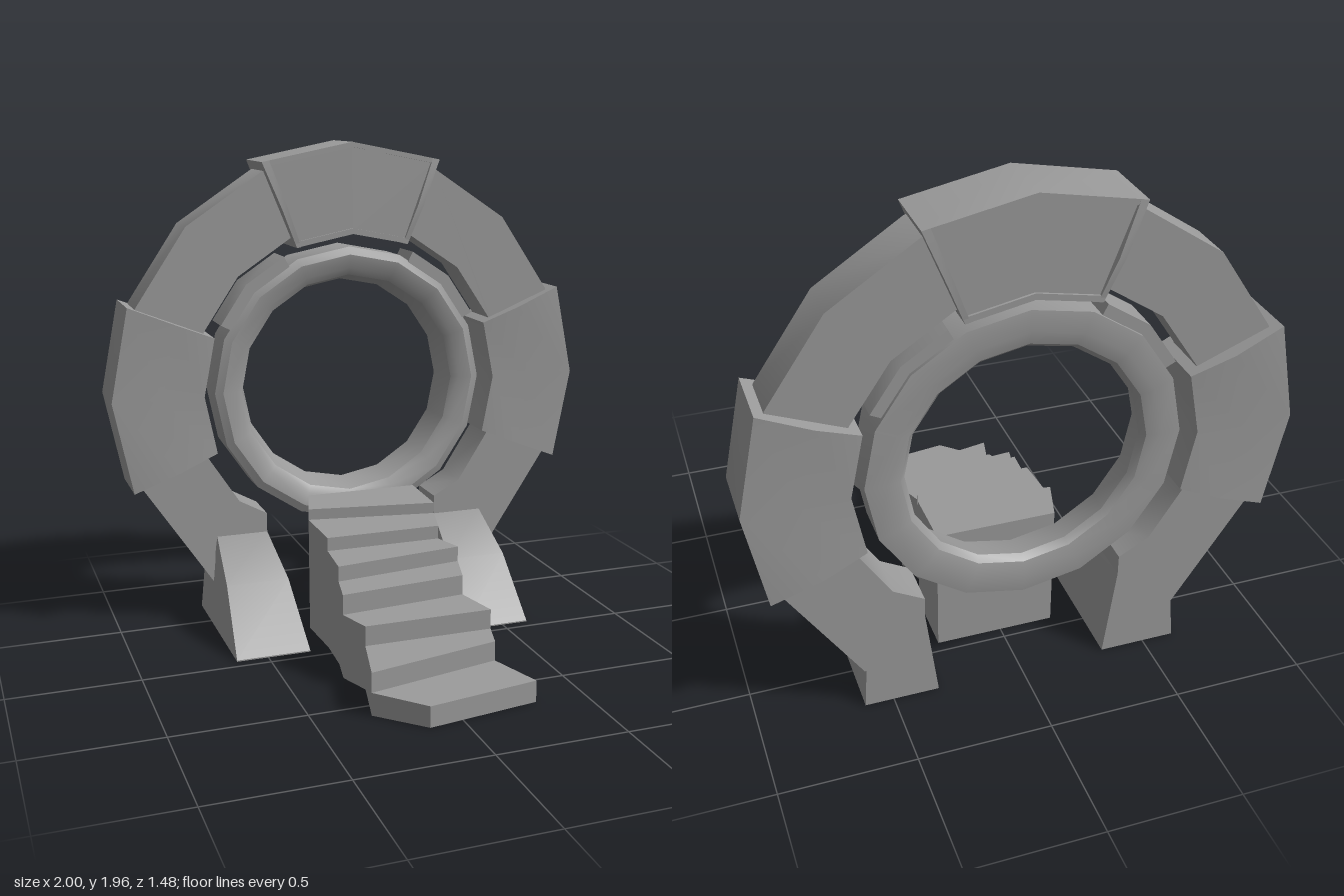
import * as THREE from 'three';
import { toCreasedNormals } from 'three/addons/utils/BufferGeometryUtils.js';

const CY = 0.96, CZ = -0.6; // centre of the round gate
const RAD = Math.PI / 180;

export function createModel() {
  const root = new THREE.Group();
  const stone = new THREE.MeshStandardMaterial({ color: 0x9a9a9a });

  const add = (name, geo, parent = root) => {
    const mesh = new THREE.Mesh(toCreasedNormals(geo, 0.5), stone);
    mesh.name = name;
    parent.add(mesh);
    return mesh;
  };

  // Sweep closed (radius, z) profiles around the gate, following a 16-sided ring
  const sweep = (angles, profileAt) => {
    const pos = [];
    const rows = angles.map((a) => {
      const off = (((a % 22.5) + 22.5) % 22.5) - 11.25;
      const k = Math.cos(11.25 * RAD) / Math.cos(off * RAD);
      return profileAt(a).map(([r, z]) => [r * k * Math.cos(a * RAD), CY + r * k * Math.sin(a * RAD), CZ + z]);
    });
    const n = rows[0].length;
    const tri = (a, b, c) => pos.push(...a, ...b, ...c);
    for (let s = 0; s < rows.length - 1; s++) {
      for (let i = 0; i < n; i++) {
        const j = (i + 1) % n, p = rows[s], q = rows[s + 1];
        tri(p[i], q[i], q[j]);
        tri(p[i], q[j], p[j]);
      }
    }
    const a = rows[0], b = rows[rows.length - 1];
    for (let i = 1; i < n - 1; i++) {
      tri(a[0], a[i], a[i + 1]);
      tri(b[0], b[i + 1], b[i]);
    }
    const geo = new THREE.BufferGeometry();
    geo.setAttribute('position', new THREE.Float32BufferAttribute(pos, 3));
    return geo;
  };
  const rect = (r0, r1, h) => () => [[r0, -h], [r1, -h], [r1, h], [r0, h]];
  const bulged = (h) => [[0.63, -0.125], [0.8, -h], [1, -0.127], [1, 0.127], [0.8, h], [0.63, 0.125]];

  const extrude = (points, depth) => new THREE.ExtrudeGeometry(
    new THREE.Shape(points.map(([x, y]) => new THREE.Vector2(x, y))),
    { depth, bevelEnabled: false });

  // Inner ring: shallow steps in front, throat narrowing to a rounded back
  const ringProfile = [
    [0.43, -0.06], [0.45, -0.085], [0.5, -0.098], [0.577, -0.09], [0.577, 0.075], [0.545, 0.088],
    [0.49, 0.08], [0.46, 0.06], [0.43, -0.06],
  ].map(([r, z]) => new THREE.Vector2(r, z));
  const ring = add('innerRing', new THREE.LatheGeometry(ringProfile, 16).rotateX(Math.PI / 2));
  ring.position.set(0, CY, CZ);

  // Raised pads on the upper shoulders of the ring
  for (const [name, mid] of [['leftRingPad', 45], ['rightRingPad', 135]]) {
    add(name, sweep([mid - 18, mid, mid + 18], rect(0.55, 0.62, 0.077)));
  }

  // Arch halves: 16-sided outside and inside, running down into the feet
  const ringPoint = (r, a) => [r * Math.cos(a * RAD), CY + r * Math.sin(a * RAD)];
  const archOutline = [
    ...[75, 67.5, 45, 22.5, 0, -22.5].map((a) => ringPoint(0.96, a)),
    [0.605, 0.165], [0.375, 0.165], [0.375, 0.44],
    ...[-43, -22.5, 0, 22.5, 45, 67.5, 75].map((a) => ringPoint(0.67, a)),
  ];
  // Sloping feet, narrowing towards the top
  const footSide = [[-0.69, 0], [-0.045, 0], [-0.045, 0.005], [-0.27, 0.23], [-0.51, 0.36], [-0.69, 0.36]];
  for (const [side, s, x0, x1] of [['left', 1, 0.327, 0.608], ['right', -1, 0.33, 0.625]]) {
    const outline = archOutline.map(([x, y]) => [x * s, y]);
    add(side + 'Arch', extrude(outline, 0.18).translate(0, 0, -0.69));

    // Side profile is drawn in (z, y), then turned to run along x
    const foot = extrude(footSide.map(([z, y]) => [-z, y]), 1).rotateY(Math.PI / 2);
    const p = foot.attributes.position;
    for (let i = 0; i < p.count; i++) {
      const t = Math.max(0, (p.getY(i) - 0.1) / 0.26);
      const inner = x0 + (0.375 - x0) * t, outer = x1 + (0.588 - x1) * t;
      const k = s > 0 ? p.getX(i) : 1 - p.getX(i);
      p.setX(i, s * (inner + (outer - inner) * k));
    }
    add(side + 'Foot', foot);
  }

  // Large side blocks, swelling at their ends
  for (const [name, mid] of [['leftBlock', 0], ['rightBlock', 180]]) {
    add(name, sweep([mid - 22.1, mid, mid + 22.1], (a) => bulged(a === mid ? 0.13 : 0.144)));
  }

  // Keystone: recessed panels front and back inside a raised rim
  const keystone = new THREE.Group();
  keystone.name = 'keystone';
  root.add(keystone);
  add('panel', sweep([68.5, 90, 111.5], rect(0.64, 0.99, 0.118)), keystone);
  add('outerRim', sweep([67.9, 90, 112.1], rect(0.98, 1, 0.127)), keystone);
  add('innerRim', sweep([67.9, 90, 112.1], rect(0.632, 0.655, 0.127)), keystone);
  add('leftRim', sweep([67.9, 69.6], () => bulged(0.143)), keystone);
  add('rightRim', sweep([110.4, 112.1], () => bulged(0.143)), keystone);

  // Uneven stairs; each row is [leftX, leftZ, rightX, rightZ], front to back
  const rows = [
    [-0.13, 0.74, 0.305, 0.675], [-0.29, 0.58, 0.23, 0.475], [-0.24, 0.365, 0.26, 0.365],
    [-0.285, 0.24, 0.215, 0.195], [-0.26, 0.11, 0.255, 0.05], [-0.25, -0.06, 0.215, -0.06],
    [-0.26, -0.285, 0.255, -0.21], [-0.21, -0.455, 0.255, -0.455],
  ];
  const heights = [0.08, 0.162, 0.247, 0.33, 0.395, 0.455, 0.505];
  const stairs = new THREE.Group();
  stairs.name = 'stairs';
  root.add(stairs);
  heights.forEach((h, i) => {
    const [ax, az, bx, bz] = rows[i], [cx, cz, dx, dz] = rows[i + 1];
    const step = extrude([[ax, -az], [bx, -bz], [dx, -dz], [cx, -cz]], h).rotateX(-Math.PI / 2);
    // Treads rise slightly towards the back
    const p = step.attributes.position;
    for (let v = 0; v < p.count; v++) {
      if (p.getY(v) > 0.01) p.setY(v, h + 0.04 * (Math.max(az, bz) - p.getZ(v)));
    }
    add('step' + (i + 1), step, stairs);
  });

  return root;
}
